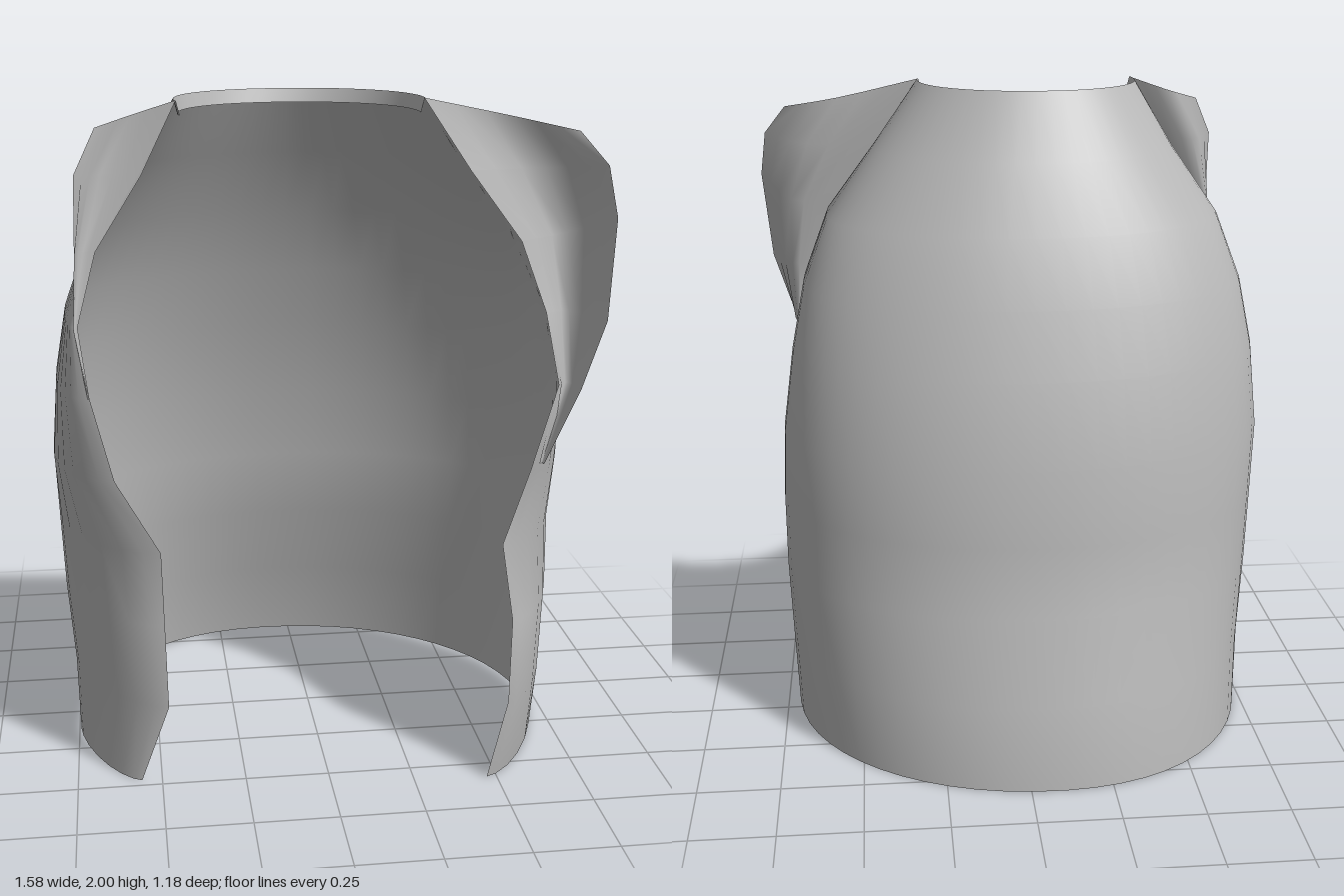
import * as THREE from 'three';

// Surface through rows of points; every row has the same number of points.
function loft(rows, material, name) {
  const n = rows[0].length, index = [];
  for (let i = 0; i < rows.length - 1; i++) {
    for (let j = 0; j < n - 1; j++) {
      const a = i * n + j, b = a + 1, c = a + n, d = c + 1;
      index.push(a, b, c, b, d, c);
    }
  }
  const geo = new THREE.BufferGeometry();
  geo.setAttribute('position', new THREE.Float32BufferAttribute(rows.flat(2), 3));
  geo.setIndex(index);
  geo.computeVertexNormals();
  const mesh = new THREE.Mesh(geo, material);
  mesh.name = name;
  return mesh;
}

// Levels of the garment: y, left side x, left edge x, z, right side x, edge x, z,
// z of the widest point, z of the back, flatness of the front panels
const LEVELS = [
  [0.00, 0.715, 0.47, 0.58, -0.745, -0.56, 0.47, 0.12, -0.585, 1.35],
  [0.25, 0.725, 0.525, 0.59, -0.75, -0.475, 0.50, 0.12, -0.545, 1.3],
  [0.50, 0.735, 0.535, 0.565, -0.77, -0.48, 0.48, 0.12, -0.46, 1.25],
  [0.72, 0.735, 0.51, 0.515, -0.78, -0.485, 0.46, 0.12, -0.43, 1.15],
  [0.95, 0.725, 0.58, 0.53, -0.79, -0.61, 0.48, 0.12, -0.40, 0.95],
  [1.20, 0.69, 0.655, 0.52, -0.77, -0.67, 0.50, 0.14, -0.335, 0.8],
  [1.40, 0.65, 0.625, 0.465, -0.735, -0.695, 0.49, 0.18, -0.27, 0.75],
  [1.60, 0.572, 0.555, 0.43, -0.665, -0.64, 0.45, 0.24, -0.20, 0.75],
  [1.80, 0.42, 0.405, 0.42, -0.53, -0.51, 0.42, 0.31, -0.09, 0.75],
  [2.00, 0.275, 0.27, 0.41, -0.415, -0.41, 0.41, 0.37, 0.02, 0.75],
];

// One horizontal section: left front panel, round back, right front panel
function section([y, xl, el, zl, xr, er, zr, zc, zb, flat]) {
  const pts = [], FRONT = 7, BACK = 28;
  const soft = (v, p) => Math.sign(v) * Math.abs(v) ** p;
  const panel = (side, edge, z, t) => {
    const a = t * Math.PI / 2;
    return [edge + (side - edge) * soft(Math.cos(a), flat), y, zc + (z - zc) * soft(Math.sin(a), flat)];
  };
  for (let i = FRONT; i > 0; i--) pts.push(panel(xl, el, zl, i / FRONT));
  const cx = (xl + xr) / 2, rx = (xl - xr) / 2;
  const skew = 0.025 * Math.max(0, 1 - y);   // the hem swings to one side
  for (let i = 0; i <= BACK; i++) {
    const a = Math.PI * i / BACK;
    pts.push([cx + rx * soft(Math.cos(a), 0.94), y,
      zc + (zb - zc) * soft(Math.max(0, Math.sin(a)), 0.94) + skew * Math.sin(2 * a)]);
  }
  for (let i = 1; i <= FRONT; i++) pts.push(panel(xr, er, zr, i / FRONT));
  return pts;
}

// Lapels: fold line, hollow and outer edge, from bottom to top
const LEFT_LAPEL = [
  [[0.605, 0.97, 0.53], [0.612, 0.97, 0.525], [0.62, 0.97, 0.53]],
  [[0.655, 1.20, 0.52], [0.69, 1.20, 0.49], [0.70, 1.20, 0.585]],
  [[0.625, 1.40, 0.465], [0.695, 1.40, 0.455], [0.765, 1.40, 0.59]],
  [[0.555, 1.60, 0.43], [0.69, 1.62, 0.415], [0.79, 1.68, 0.555]],
  [[0.405, 1.80, 0.42], [0.63, 1.80, 0.385], [0.77, 1.82, 0.52]],
  [[0.27, 2.00, 0.41], [0.53, 1.945, 0.385], [0.70, 1.91, 0.465]],
];
const RIGHT_LAPEL = [
  [[-0.67, 1.20, 0.50], [-0.672, 1.20, 0.50], [-0.675, 1.20, 0.50]],
  [[-0.695, 1.40, 0.49], [-0.705, 1.40, 0.495], [-0.705, 1.40, 0.525]],
  [[-0.64, 1.60, 0.45], [-0.685, 1.60, 0.445], [-0.695, 1.60, 0.53]],
  [[-0.51, 1.80, 0.42], [-0.62, 1.80, 0.39], [-0.69, 1.81, 0.465]],
  [[-0.41, 2.00, 0.41], [-0.53, 1.96, 0.38], [-0.63, 1.93, 0.41]],
];

// Adds points between the three of each row so the hollow is round
function roundRows(rows) {
  return rows.map(row => new THREE.CatmullRomCurve3(row.map(p => new THREE.Vector3(...p)))
    .getPoints(6).map(p => p.toArray()));
}

export function createModel() {
  const cloth = new THREE.MeshStandardMaterial({ color: 0xb8b8b8, side: THREE.DoubleSide });
  cloth.name = 'grey cloth';

  const group = new THREE.Group();
  group.name = 'openVest';

  // Main shell, open at the front
  const rows = LEVELS.map(section);
  group.add(loft(rows, cloth, 'body'));

  // Narrow hem turned inwards around the neck
  const rim = rows[rows.length - 1];
  const hem = rim.map(([x, , z]) => [-0.07 + (x + 0.07) * 0.97, 1.96, 0.41 + (z - 0.41) * 0.97]);
  group.add(loft([hem, rim], cloth, 'neckHem'));

  // Turned-out lapels
  group.add(loft(roundRows(LEFT_LAPEL), cloth, 'leftLapel'));
  group.add(loft(roundRows(RIGHT_LAPEL).map(r => r.reverse()), cloth, 'rightLapel'));
  return group;
}
